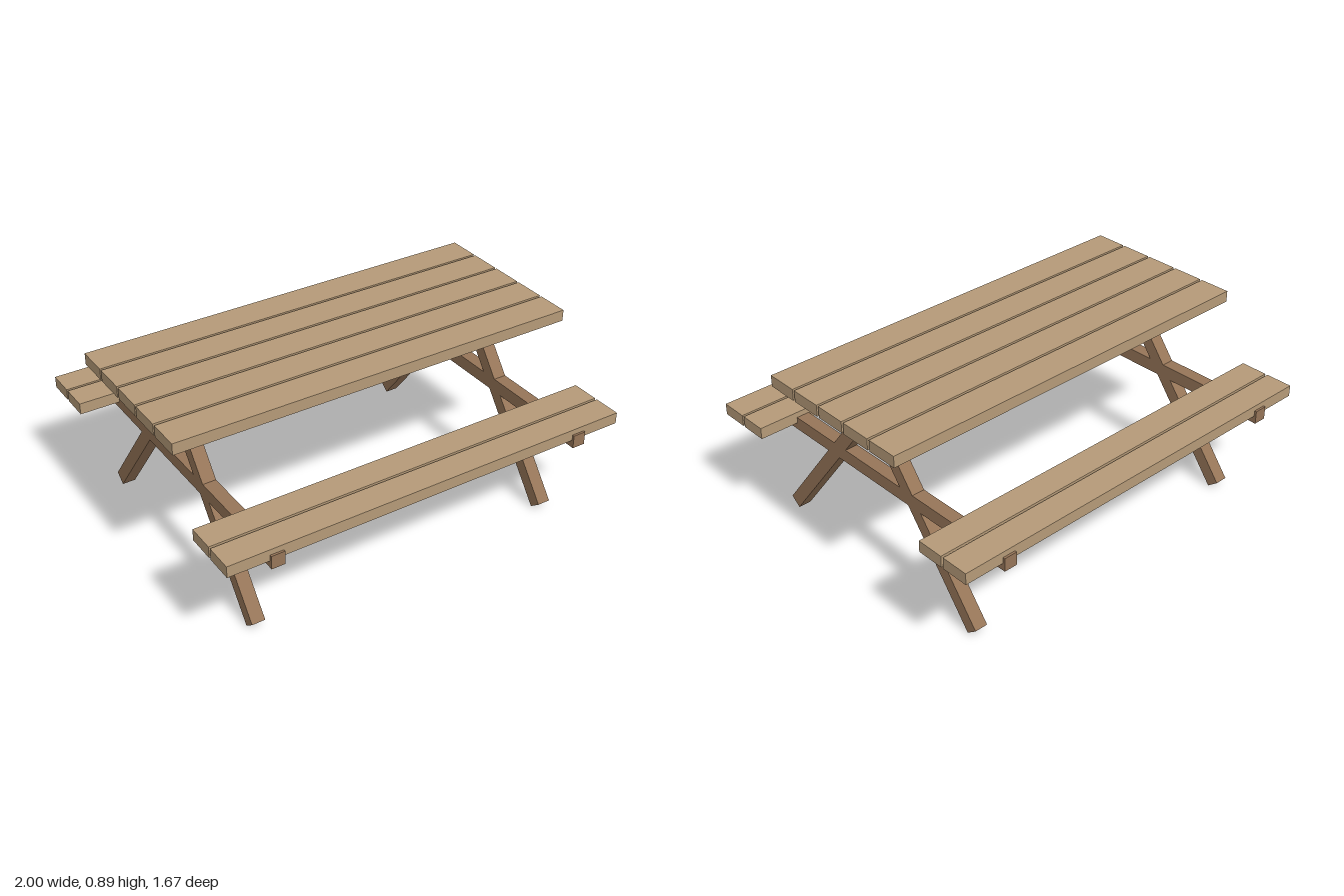
import * as THREE from 'three';

const plankMat = new THREE.MeshStandardMaterial({ color: 0xb59a78 });
const frameMat = new THREE.MeshStandardMaterial({ color: 0x967558 });

function board(name, material, [w, h, d], [x, y, z]) {
  const mesh = new THREE.Mesh(new THREE.BoxGeometry(w, h, d), material);
  mesh.name = name;
  mesh.position.set(x, y, z);
  return mesh;
}

export function createModel() {
  const table = new THREE.Group();
  table.name = 'picnicTable';

  // Table top: five spaced planks
  const top = new THREE.Group();
  top.name = 'tableTop';
  for (let i = -2; i <= 2; i++) {
    top.add(board('topPlank', plankMat, [2, 0.055, 0.155], [0, 0.866, i * 0.167]));
  }
  table.add(top);

  // Benches: two planks on each side
  for (const side of [1, -1]) {
    const bench = new THREE.Group();
    bench.name = side > 0 ? 'frontBench' : 'backBench';
    for (const z of [0.611, 0.756]) {
      bench.add(board('benchPlank', plankMat, [2, 0.055, 0.133], [0, 0.532, side * z]));
    }
    table.add(bench);
  }

  // End frames: crossbar plus two splayed legs that cross just under the top
  const beam = 0.064;
  const foot = new THREE.Vector2(0.627, 0.021); // (z, y)
  const head = new THREE.Vector2(-0.024, 0.855);
  const mid = foot.clone().add(head).multiplyScalar(0.5);
  const length = foot.distanceTo(head);
  const tilt = Math.atan2(foot.x - head.x, head.y - foot.y);
  for (const end of [1, -1]) {
    const frame = new THREE.Group();
    frame.name = end > 0 ? 'leftFrame' : 'rightFrame';
    frame.position.x = end * 0.775;
    frame.add(board('crossbar', frameMat, [beam, beam, 1.666], [0, 0.501, 0]));
    for (const side of [1, -1]) {
      const leg = board(side > 0 ? 'frontLeg' : 'backLeg', frameMat,
        [beam, length, beam], [0, mid.y, side * mid.x]);
      leg.rotation.x = -side * tilt;
      frame.add(leg);
    }
    table.add(frame);
  }
  return table;
}
